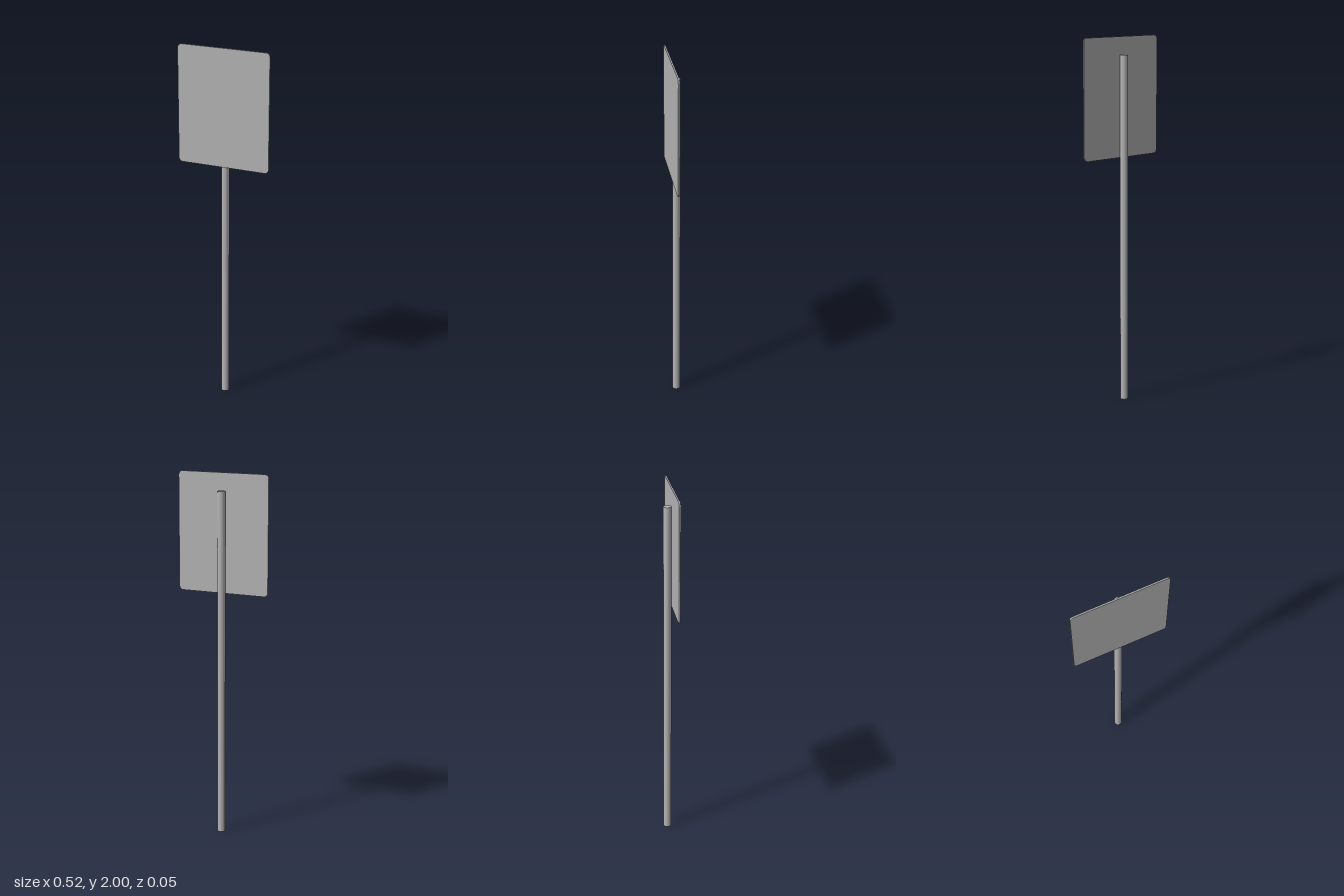
import * as THREE from 'three';

// Rectangle outline with rounded corners, centred on the origin
function roundedRect(w, h, r) {
  const x = w / 2 - r, y = h / 2 - r;
  const s = new THREE.Shape();
  s.absarc(x, y, r, 0, Math.PI / 2);
  s.absarc(-x, y, r, Math.PI / 2, Math.PI);
  s.absarc(-x, -y, r, Math.PI, Math.PI * 1.5);
  s.absarc(x, -y, r, Math.PI * 1.5, Math.PI * 2);
  s.closePath();
  return s;
}

export function createModel() {
  const group = new THREE.Group();
  group.name = 'signpost';
  const metal = new THREE.MeshStandardMaterial({ color: 0xb4b4b4 });
  metal.name = 'grey metal';

  // Round pole, stopping just short of the top of the plate
  const poleHeight = 1.905;
  const pole = new THREE.Mesh(new THREE.CylinderGeometry(0.0215, 0.0215, poleHeight, 32), metal);
  pole.name = 'pole';
  pole.position.set(0, poleHeight / 2, -0.0045);
  group.add(pole);

  // Thin blank plate fixed to the front of the pole
  const bottom = 1.355, height = 2 - bottom;
  const plate = new THREE.Mesh(
    new THREE.ExtrudeGeometry(roundedRect(0.518, height, 0.022), {
      depth: 0.008, bevelEnabled: false, curveSegments: 8,
    }),
    metal,
  );
  plate.name = 'signPlate';
  plate.position.set(0, bottom + height / 2, 0.017);
  group.add(plate);

  return group;
}
